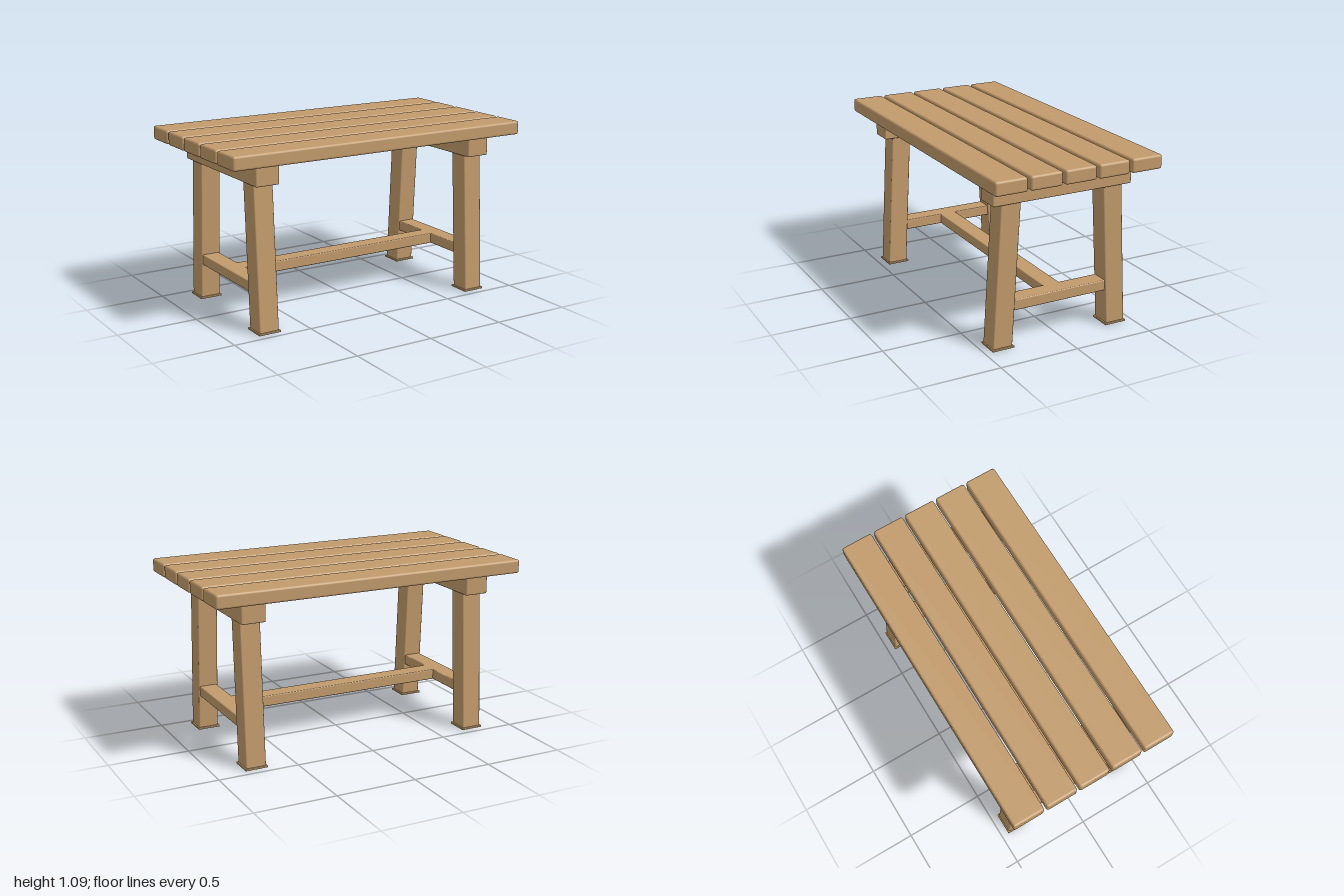
import * as THREE from 'three';
import { RoundedBoxGeometry } from 'three/addons/geometries/RoundedBoxGeometry.js';

export function createModel() {
  const model = new THREE.Group();
  model.name = 'slattedTable';
  const wood = new THREE.MeshStandardMaterial({ color: 0xc19a6b });
  wood.name = 'wood';

  // Softly rounded timber of a given size and centre
  function timber(name, w, h, d, x, y, z, radius) {
    const mesh = new THREE.Mesh(new RoundedBoxGeometry(w, h, d, 2, radius), wood);
    mesh.name = name;
    mesh.position.set(x, y, z);
    model.add(mesh);
    return mesh;
  }

  // Five long planks of the table top
  for (let i = -2; i <= 2; i++) {
    timber('topPlank', 2, 0.085, 0.2, 0, 1.048, i * 0.2175, 0.014);
  }

  for (const side of [-1, 1]) {
    const x = side * 0.745;
    // Cross beam under the planks and low rail between the legs
    timber('crossBeam', 0.15, 0.125, 0.906, x, 0.942, 0, 0.008);
    timber('sideRail', 0.11, 0.066, 0.66, x, 0.258, 0, 0.006);

    for (const end of [-1, 1]) {
      // Leg sheared outwards so that its ends stay level
      const leg = timber('leg', 0.126, 0.9, 0.126, x, 0.458, end * 0.358, 0.008);
      const shear = new THREE.Matrix4().makeShear(0, 0, 0, -end * 0.058, 0, 0);
      // makeShear(xy, xz, yx, yz, zx, zy): z is moved in proportion to y
      leg.geometry.applyMatrix4(shear);
      // Thin foot plate, a little wider than the leg
      timber('footPlate', 0.142, 0.012, 0.142, x, 0.006, end * 0.383, 0.003);
    }
  }

  // Long stretcher joining the two side rails
  timber('stretcher', 1.42, 0.066, 0.11, 0, 0.258, 0, 0.006);

  return model;
}
